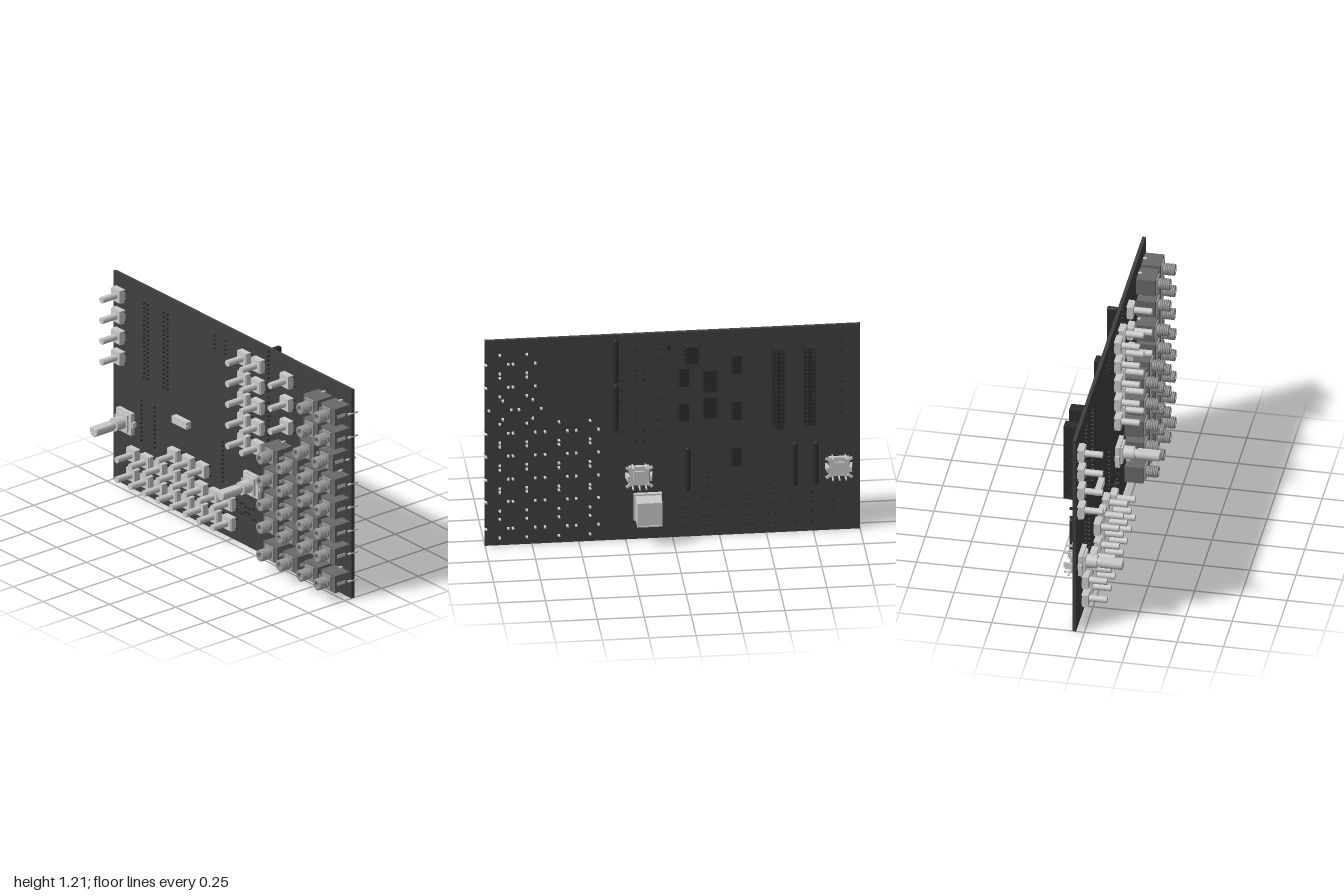
import * as THREE from 'three';
import { RoundedBoxGeometry } from 'three/addons/geometries/RoundedBoxGeometry.js';

const FRONT = -0.045, BACK = -0.064;
const grey = new THREE.MeshStandardMaterial({ color: 0xcccccc });
const paint = (c) => new THREE.MeshStandardMaterial({ color: c });
const boardMat = paint(0x404040), black = paint(0x2c2c2c), jackMat = paint(0x6a6a6a);
const threadMat = paint(0x969696);
threadMat.side = THREE.DoubleSide;

function add(parent, name, geo, mat, x = 0, y = 0, z = 0) {
  const m = new THREE.Mesh(geo, mat);
  m.name = name;
  m.position.set(x, y, z);
  parent.add(m);
  return m;
}
// Box given by its centre in x, y and its two ends in z
function slab(parent, name, mat, x, y, w, h, z0, z1) {
  return add(parent, name, new THREE.BoxGeometry(w, h, Math.abs(z1 - z0)), mat, x, y, (z0 + z1) / 2);
}
// Cylinder along z
function rod(parent, name, mat, x, y, r, z0, z1, sides = 20) {
  const g = new THREE.CylinderGeometry(r, r, Math.abs(z1 - z0), sides).rotateX(Math.PI / 2);
  return add(parent, name, g, mat, x, y, (z0 + z1) / 2);
}
function part(parent, name, x, y) {
  const g = new THREE.Group();
  g.name = name;
  g.position.set(x, y, 0);
  parent.add(g);
  return g;
}

// Push button with tall round plunger and four leads
function button(root, x, y) {
  const g = part(root, 'pushButton', x, y);
  slab(g, 'buttonBase', grey, 0, 0, 0.075, 0.075, FRONT, -0.014);
  slab(g, 'buttonCover', grey, 0, 0, 0.07, 0.07, -0.014, -0.008);
  rod(g, 'buttonPlunger', grey, 0, 0, 0.018, -0.01, 0.088);
  for (const sx of [-1, 1]) for (const sy of [-1, 1])
    slab(g, 'buttonLead', black, sx * 0.04, sy * 0.028, 0.016, 0.008, -0.04, -0.083);
}

// Ridged, hollow barrel profile of a jack
const barrel = [[0.017, 0.03], [0.017, 0.13], [0.028, 0.13]];
for (let i = 0; i < 6; i++) {
  const z = 0.127 - i * 0.0095;
  barrel.push([0.032, z], [0.032, z - 0.005], [0.0285, z - 0.0075]);
}
barrel.push([0.0285, 0.057]);
const barrelGeo = new THREE.LatheGeometry(barrel.map(([r, z]) => new THREE.Vector2(r, z)), 24)
  .rotateX(Math.PI / 2);
threadMat.flatShading = true;

// Panel jack: housing, front plate, threaded barrel, contacts
function jack(root, x, y) {
  const g = part(root, 'jack', x, y);
  slab(g, 'jackHousing', jackMat, 0.004, 0, 0.118, 0.098, FRONT, 0.057);
  slab(g, 'jackFrontPlate', threadMat, 0, 0, 0.07, 0.08, 0.057, 0.066);
  add(g, 'jackBarrel', barrelGeo, threadMat);
  rod(g, 'jackBore', black, 0, 0, 0.017, 0.06, 0.07);
  slab(g, 'sideContact', grey, 0.064, 0, 0.004, 0.018, -0.012, 0.044);
  for (const [px, py] of [[0.074, 0], [-0.045, 0], [0, -0.055], [0, 0.055]])
    slab(g, 'jackPin', grey, px, py, 0.012, 0.007, -0.025, -0.088);
}

// Rotary encoder with a flat-sided shaft and a rear mounting plate
function encoder(root, x, y) {
  const g = part(root, 'rotaryEncoder', x, y);
  slab(g, 'encoderBody', grey, 0, 0, 0.125, 0.125, FRONT, -0.02);
  slab(g, 'encoderCap', grey, 0, 0, 0.085, 0.1, -0.02, -0.008);
  rod(g, 'encoderCollar', grey, 0, 0, 0.037, -0.01, 0.05, 28);
  rod(g, 'encoderNeck', grey, 0, 0, 0.024, 0.05, 0.064, 24);
  const d = new THREE.Shape(), a = Math.asin(0.019 / 0.031);
  d.absarc(0, 0, 0.031, Math.PI - a, Math.PI * 2 + a, false);
  d.closePath();
  add(g, 'encoderShaft', new THREE.ExtrudeGeometry(d, {
    depth: 0.117, bevelEnabled: true, bevelThickness: 0.004, bevelSize: 0.004,
    bevelOffset: -0.004, bevelSegments: 2, curveSegments: 24,
  }), grey, 0, 0, 0.066);
  slab(g, 'rearPlate', grey, 0, 0, 0.11, 0.11, BACK, -0.085);
  slab(g, 'rearRidge', grey, 0, 0, 0.06, 0.06, -0.085, -0.094);
  for (const s of [-1, 1]) {
    slab(g, 'mountLug', grey, s * 0.066, 0, 0.012, 0.03, -0.02, -0.122).rotation.y = s * 0.15;
    slab(g, 'pinPair', grey, s * 0.035, -0.06, 0.008, 0.008, -0.02, -0.125);
    slab(g, 'pinPair', grey, s * 0.035, 0.06, 0.008, 0.008, -0.02, -0.125);
    for (const t of [-1, 1]) {
      const lug = slab(g, 'cornerLug', grey, s * 0.058, t * 0.05, 0.03, 0.014, -0.09, -0.1);
      lug.rotation.z = s * t * 0.6;
    }
  }
  slab(g, 'centrePin', grey, 0, -0.06, 0.008, 0.008, -0.02, -0.125);
}

// Rear socket strip with its pin tips on the front
function header(root, x, y0, y1, cols, depth, rows) {
  const g = part(root, 'pinHeader', x, 0);
  const w = cols === 2 ? 0.06 : 0.027, len = y1 - y0, step = (len - 0.025) / (rows - 1);
  if (cols === 2) slab(g, 'headerBody', black, 0, (y0 + y1) / 2, w, len, BACK, depth);
  else add(g, 'headerBody', new RoundedBoxGeometry(w, len, BACK - depth, 2, 0.01), black,
    0, (y0 + y1) / 2, (BACK + depth) / 2);
  for (let c = 0; c < cols; c++) for (let i = 0; i < rows; i++) {
    const px = cols === 2 ? (c - 0.5) * 0.032 : 0, py = y0 + 0.0125 + i * step;
    rod(g, 'headerPin', black, px, py, 0.006, BACK, -0.034, 8);
    if (cols === 2) slab(g, 'headerSocket', boardMat, px, py, 0.012, 0.012, depth, depth - 0.001);
  }
}

// Chip on the back with a row of legs on each side
function chip(root, x, y, w, h, legs, depth = -0.088) {
  const g = part(root, 'chip', x, y);
  slab(g, 'chipBody', black, 0, 0, w * 0.75, h, BACK - 0.004, depth);
  for (let i = 0; i < legs; i++)
    slab(g, 'chipLegs', black, 0, (i - (legs - 1) / 2) * h / legs, w, h / legs * 0.45, BACK, -0.074);
}

export function createModel() {
  const root = new THREE.Group();
  root.name = 'controllerBoard';
  slab(root, 'board', boardMat, 0, 0.605, 2, 1.21, BACK, FRONT);

  // Button groups
  const column = [1.096, 0.976, 0.856, 0.735, 0.615];
  column.slice(0, 4).forEach((y) => button(root, -0.939, y));
  for (const x of [0.118, 0.235]) column.forEach((y) => button(root, x, y));
  for (const y of [1.09, 0.957, 0.824]) button(root, 0.476, y);
  for (const x of [-0.47, -0.35, -0.23]) button(root, x, 0.326);
  for (let i = 0; i < 8; i++) for (const y of [0.211, 0.096]) button(root, -0.813 + i * 0.115, y);

  // Jack grid
  for (const y of [0.664, 0.53, 0.393, 0.261, 0.102])
    for (const x of [0.441, 0.607, 0.778, 0.922]) jack(root, x, y);
  for (const y of [1.072, 0.937]) for (const x of [0.778, 0.922]) jack(root, x, y);
  for (const x of [0.746, 0.906]) jack(root, x, 0.802);

  encoder(root, -0.885, 0.38);
  encoder(root, 0.18, 0.38);

  // Headers
  for (const x of [-0.722, -0.557]) header(root, x, 0.67, 1.125, 2, -0.16, 18);
  for (const x of [-0.76, -0.648, -0.077]) header(root, x, 0.295, 0.55, 1, -0.124, 10);
  header(root, 0.307, 0.67, 0.94, 1, -0.124, 10);
  header(root, 0.307, 0.952, 1.207, 1, -0.124, 10);

  // Chips and small parts on the back
  chip(root, -0.1, 1.09, 0.09, 0.1, 4, -0.112);
  for (const s of [-1, 1]) for (let i = 0; i < 4; i++)
    rod(root, 'chipPinTip', black, -0.1 + s * 0.045, 1.055 + i * 0.025, 0.005, BACK, -0.036, 8);
  for (const [x, y] of [[-0.06, 0.95], [-0.06, 0.745], [-0.34, 1.01], [-0.34, 0.74], [-0.34, 0.465]])
    chip(root, x, y, 0.065, 0.105, 7);
  for (const y of [0.92, 0.765]) chip(root, -0.2, y, 0.085, 0.125, 8);
  slab(root, 'smallComponent', black, 0.02, 1.13, 0.022, 0.032, BACK, -0.08);
  slab(root, 'smallComponent', black, -0.57, 0.625, 0.04, 0.02, BACK, -0.08);

  // Grooved connector on the front
  for (const s of [-1, 1])
    slab(root, 'frontConnectorRail', grey, -0.41, 0.54 + s * 0.011, 0.123, 0.018, FRONT, -0.012);
  slab(root, 'frontConnectorBase', grey, -0.41, 0.54, 0.123, 0.04, FRONT, -0.025);

  // Square socket on the back, with pin tips on the front
  slab(root, 'socketShell', grey, 0.133, 0.194, 0.135, 0.138, BACK, -0.18);
  slab(root, 'socketFlange', grey, 0.133, 0.194, 0.15, 0.156, BACK, -0.086);
  slab(root, 'socketLip', grey, 0.133, 0.128, 0.135, 0.006, -0.175, -0.185);
  for (const [x, y] of [[0.08, 0.235], [0.115, 0.225], [0.145, 0.225], [0.185, 0.235],
    [0.115, 0.195], [0.145, 0.195], [0.08, 0.175], [0.185, 0.175]])
    rod(root, 'socketPinTip', black, x, y, 0.006, BACK, -0.034, 8);
  return root;
}
